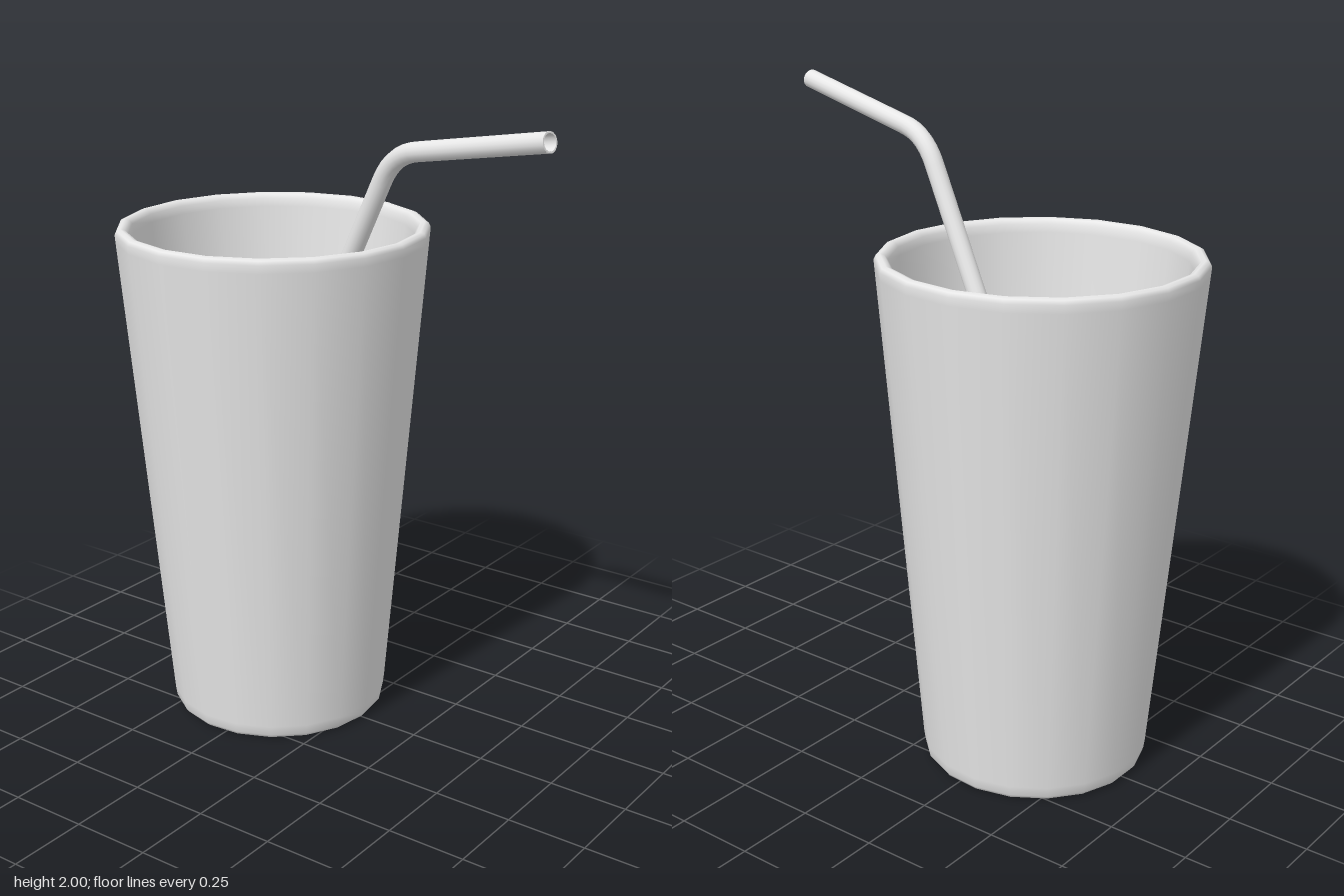
import * as THREE from 'three';

const SIDES = 19;
const CUP_X = -0.29;

export function createModel() {
  const white = new THREE.MeshStandardMaterial({ color: 0xe7e7e7 });
  white.name = 'white';
  const whiteTube = new THREE.MeshStandardMaterial({ color: 0xe7e7e7, side: THREE.DoubleSide });
  whiteTube.name = 'white straw';
  const orange = new THREE.MeshStandardMaterial({ color: 0xd2640a });
  orange.name = 'orange drink';

  const model = new THREE.Group();
  model.name = 'drinkWithStraw';
  const add = (name, geometry, material) => {
    const mesh = new THREE.Mesh(geometry, material);
    mesh.name = name;
    model.add(mesh);
    return mesh;
  };

  // Tapered cup: underside, outer wall, rounded rim, inner wall and floor
  const profile = [
    [0, 0], [0.325, 0], [0.336, 0.003], [0.345, 0.015], [0.349, 0.045],
    [0.481, 1.55], [0.483, 1.575], [0.477, 1.587], [0.465, 1.592],
    [0.452, 1.588], [0.442, 1.575], [0.438, 1.55],
    [0.308, 0.08], [0.295, 0.06], [0, 0.06],
  ].map(([r, y]) => new THREE.Vector2(r, y));
  add('cup', new THREE.LatheGeometry(profile, SIDES, Math.PI / 2), white).position.x = CUP_X;

  // Flat drink surface inside the cup
  const surface = new THREE.CircleGeometry(0.419, SIDES).rotateX(-Math.PI / 2);
  add('drink', surface, orange).position.set(CUP_X, 1.31, 0);

  // Bent straw: straight shaft, curved elbow, straight mouthpiece
  const base = new THREE.Vector3(-0.3, 0.9, -0.018);
  const corner = new THREE.Vector3(0.205, 1.867, 0.076);
  const tip = new THREE.Vector3(0.762, 1.97, 0.179);
  const elbowStart = corner.clone().lerp(base, 0.085);
  const elbowEnd = corner.clone().lerp(tip, 0.16);
  const path = new THREE.CurvePath();
  path.add(new THREE.LineCurve3(base, elbowStart));
  path.add(new THREE.QuadraticBezierCurve3(elbowStart, corner, elbowEnd));
  path.add(new THREE.LineCurve3(elbowEnd, tip));
  add('straw', new THREE.TubeGeometry(path, 60, 0.029, 16), whiteTube);

  // Inner wall and lip of the straw's open end
  const direction = tip.clone().sub(corner).normalize();
  const lip = add('strawLip', new THREE.RingGeometry(0.024, 0.029, 16), whiteTube);
  lip.position.copy(tip);
  lip.quaternion.setFromUnitVectors(new THREE.Vector3(0, 0, 1), direction);
  const bore = new THREE.LineCurve3(elbowEnd, tip);
  add('strawBore', new THREE.TubeGeometry(bore, 1, 0.024, 16), whiteTube);

  return model;
}
